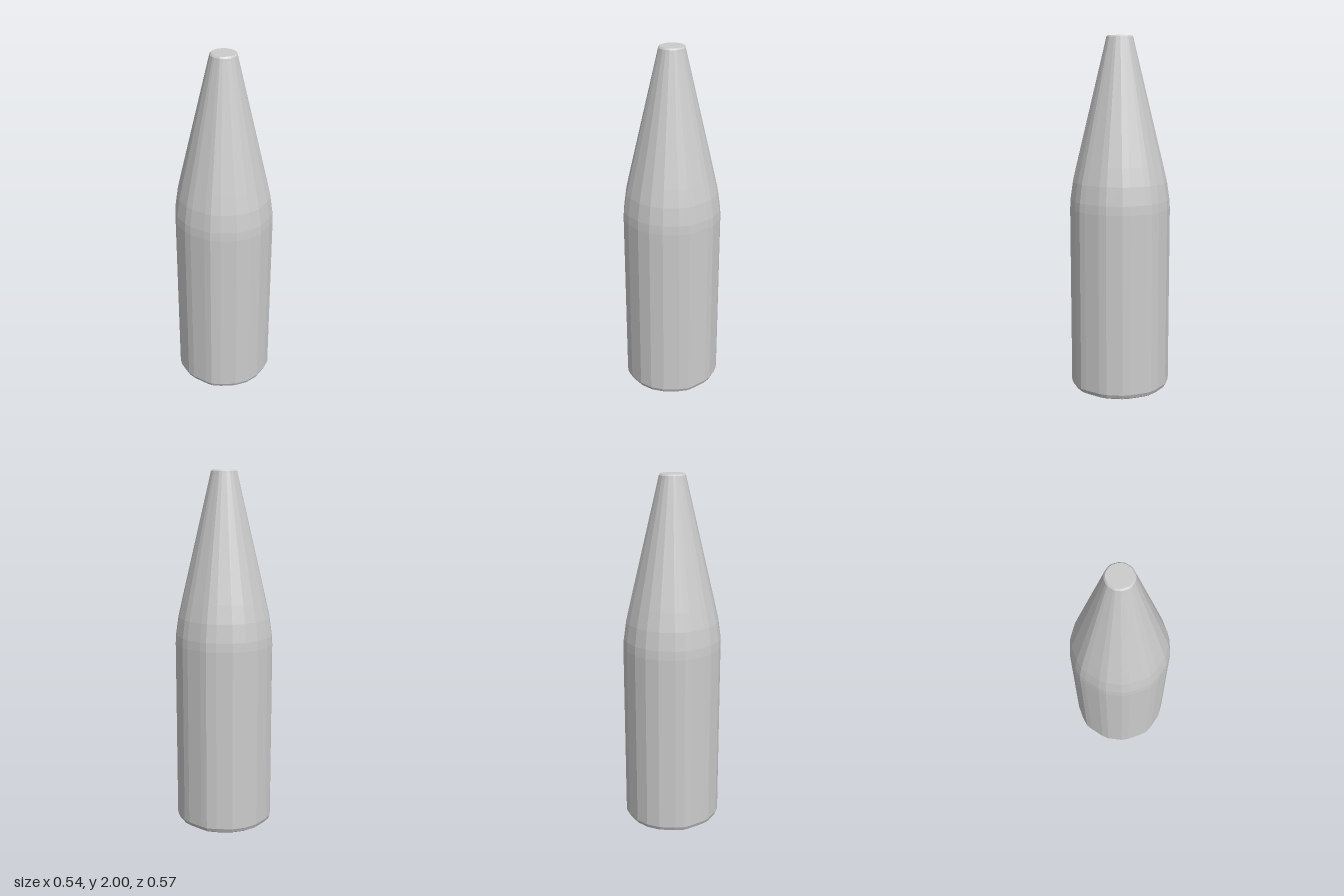
import * as THREE from 'three';

// One quarter of the faceted outline, [x, z], from the front midline to the side
const QUARTER = [[0, 0.284], [0.075, 0.272], [0.155, 0.232], [0.2, 0.199], [0.22, 0.167], [0.26, 0.087], [0.272, 0.045]];

// Height and scale of the outline, from the base to the tip
const PROFILE = [
  [0, 0.92], [0.008, 0.965], [0.03, 1],           // bevelled base
  [1.05, 1], [1.1, 0.99], [1.2, 0.938], [1.3, 0.855], // straight body and shoulder
  [1.975, 0.275], [1.992, 0.262], [2, 0.235],     // tapered nose and rounded rim
];

// Mirrors the quarter into a full loop running from +z through +x
function outline() {
  const half = [...QUARTER, ...QUARTER.slice(1).reverse().map(([x, z]) => [x, -z]), [0, -0.284]];
  return [...half, ...half.slice(1, -1).reverse().map(([x, z]) => [-x, z])];
}

// Joins scaled copies of the loop and closes both ends
function loftGeometry(loop, profile) {
  const n = loop.length;
  const positions = [];
  const index = [];
  for (const [y, s] of profile) {
    for (const [x, z] of loop) positions.push(x * s, y, z * s);
  }
  for (let j = 0; j < profile.length - 1; j++) {
    for (let i = 0; i < n; i++) {
      const a = j * n + i;
      const b = j * n + (i + 1) % n;
      index.push(a, b, b + n, a, b + n, a + n);
    }
  }
  const top = (profile.length - 1) * n;
  for (let i = 1; i < n - 1; i++) {
    index.push(0, i + 1, i);
    index.push(top, top + i, top + i + 1);
  }
  const geometry = new THREE.BufferGeometry();
  geometry.setAttribute('position', new THREE.Float32BufferAttribute(positions, 3));
  geometry.setIndex(index);
  geometry.computeVertexNormals();
  return geometry;
}

export function createModel() {
  const group = new THREE.Group();
  const material = new THREE.MeshStandardMaterial({ color: 0xcccccc, flatShading: true });
  const body = new THREE.Mesh(loftGeometry(outline(), PROFILE), material);
  body.name = 'taperedBody';
  group.add(body);
  return group;
}
